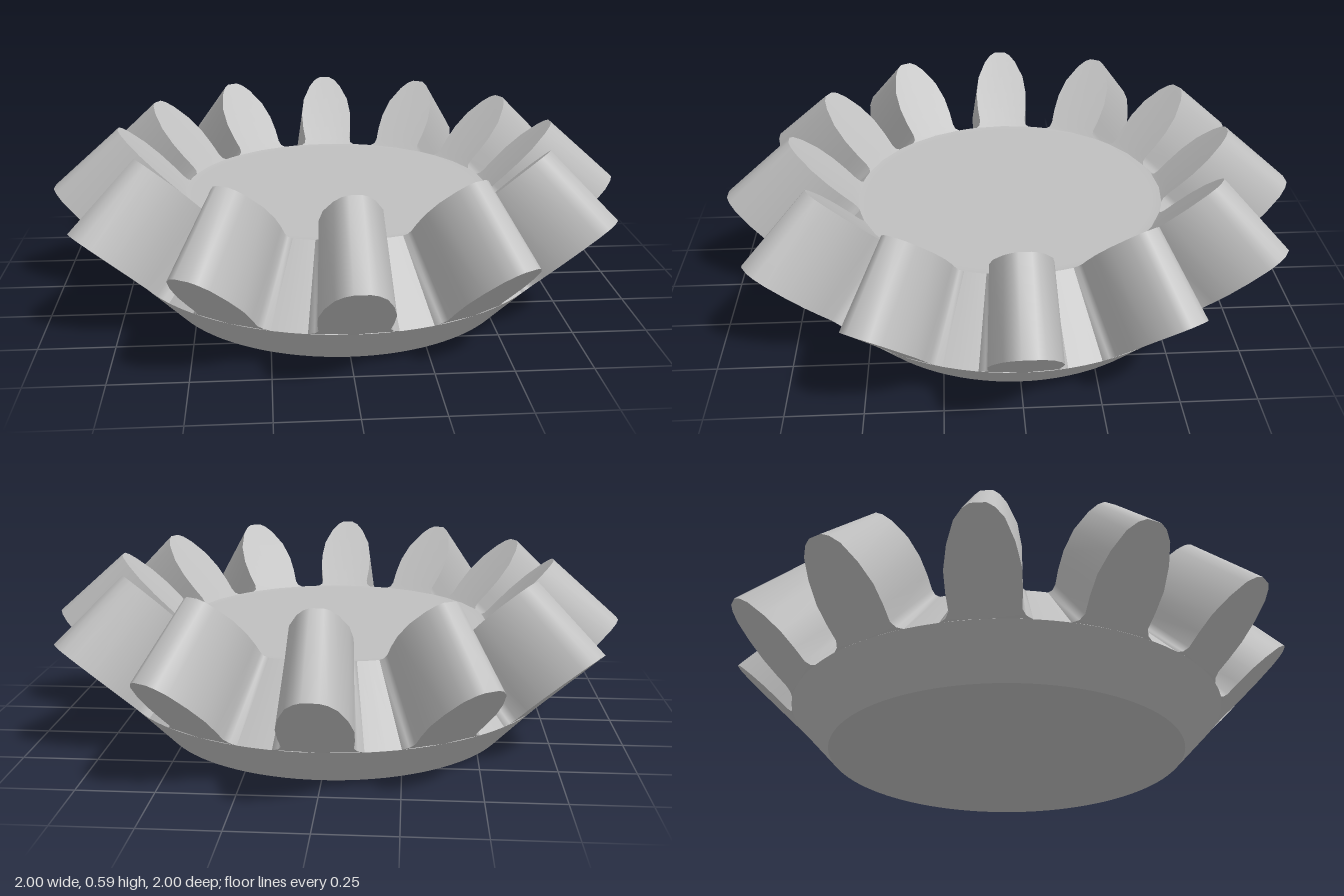
import * as THREE from 'three';
import { mergeGeometries } from 'three/addons/utils/BufferGeometryUtils.js';

const TEETH = 12;

// Tooth profile: [height fraction, half width at large end, half width at small end]
const PROFILE = [
  [-0.1, 0.14, 0.105],
  [0, 0.14, 0.105],
  [0.03, 0.12, 0.093],
  [0.09, 0.109, 0.09],
  [0.25, 0.114, 0.097],
  [0.45, 0.115, 0.1],
  [0.67, 0.1, 0.09],
  [0.87, 0.074, 0.062],
  [0.96, 0.048, 0.04],
  [1, 0.024, 0.02],
];

// Each end face follows a cone: root and tip given as [radius, height]
const OUTER = { root: [0.755, 0.145], tip: [1, 0.385], sunk: [0.715, 0.125] };
const INNER = { root: [0.54, 0.365], tip: [0.765, 0.592], sunk: [0.535, 0.335] };

function endPoint(end, t, w) {
  const r = t < 0 ? end.sunk[0] : THREE.MathUtils.lerp(end.root[0], end.tip[0], t);
  const y = t < 0 ? end.sunk[1] : THREE.MathUtils.lerp(end.root[1], end.tip[1], t);
  return [r * Math.sin(w / r), y, r * Math.cos(w / r)];
}

function meshData(points, index) {
  const g = new THREE.BufferGeometry();
  g.setAttribute('position', new THREE.Float32BufferAttribute(points.flat(), 3));
  g.setIndex(index);
  g.computeVertexNormals();
  return g;
}

// Flank surface running up one side, over the tip and down the other
function flanks() {
  const loop = [
    ...PROFILE,
    ...PROFILE.slice().reverse().map(([t, a, b]) => [t, -a, -b]),
  ];
  const points = [], index = [];
  loop.forEach(([t, a, b], i) => {
    points.push(endPoint(INNER, t, b), endPoint(OUTER, t, a));
    if (i < loop.length - 1) {
      const k = i * 2;
      index.push(k, k + 2, k + 1, k + 2, k + 3, k + 1);
    }
  });
  return meshData(points, index);
}

// Conical end face, starting at the root
function endFace(end, column, flip) {
  const points = [], index = [];
  const rows = PROFILE.slice(1);
  rows.forEach((row, j) => {
    for (const s of [-1, 0, 1]) points.push(endPoint(end, row[0], s * row[column]));
    if (j === rows.length - 1) return;
    for (let c = 0; c < 2; c++) {
      const a = j * 3 + c, b = a + 1, d = a + 3, e = a + 4;
      if (flip) index.push(a, e, b, a, d, e);
      else index.push(a, b, e, a, e, d);
    }
  });
  return meshData(points, index);
}

export function createModel() {
  const gear = new THREE.Group();
  gear.name = 'bevelGear';
  const metal = new THREE.MeshStandardMaterial({ color: 0xbfbfbf });
  metal.name = 'plain grey metal';

  // Body: one lathe per profile run keeps the rims crisp
  const runs = [
    [[0, 0], [0.62, 0]],
    [[0.62, 0], [0.755, 0.145]],
    [[0.755, 0.145], [0.54, 0.365]],
    [[0.54, 0.365], [0.51, 0.362], [0, 0.362]],
  ];
  const body = new THREE.Mesh(
    mergeGeometries(runs.map((run) =>
      new THREE.LatheGeometry(run.map(([r, y]) => new THREE.Vector2(r, y)), 96))),
    metal
  );
  body.name = 'gearBody';
  gear.add(body);

  // Ring of teeth
  const toothGeometry = mergeGeometries([
    flanks(),
    endFace(OUTER, 1, false),
    endFace(INNER, 2, true),
  ]);
  for (let i = 0; i < TEETH; i++) {
    const tooth = new THREE.Mesh(toothGeometry, metal);
    tooth.name = `tooth${i + 1}`;
    tooth.rotation.y = (i / TEETH) * Math.PI * 2;
    gear.add(tooth);
  }
  return gear;
}
